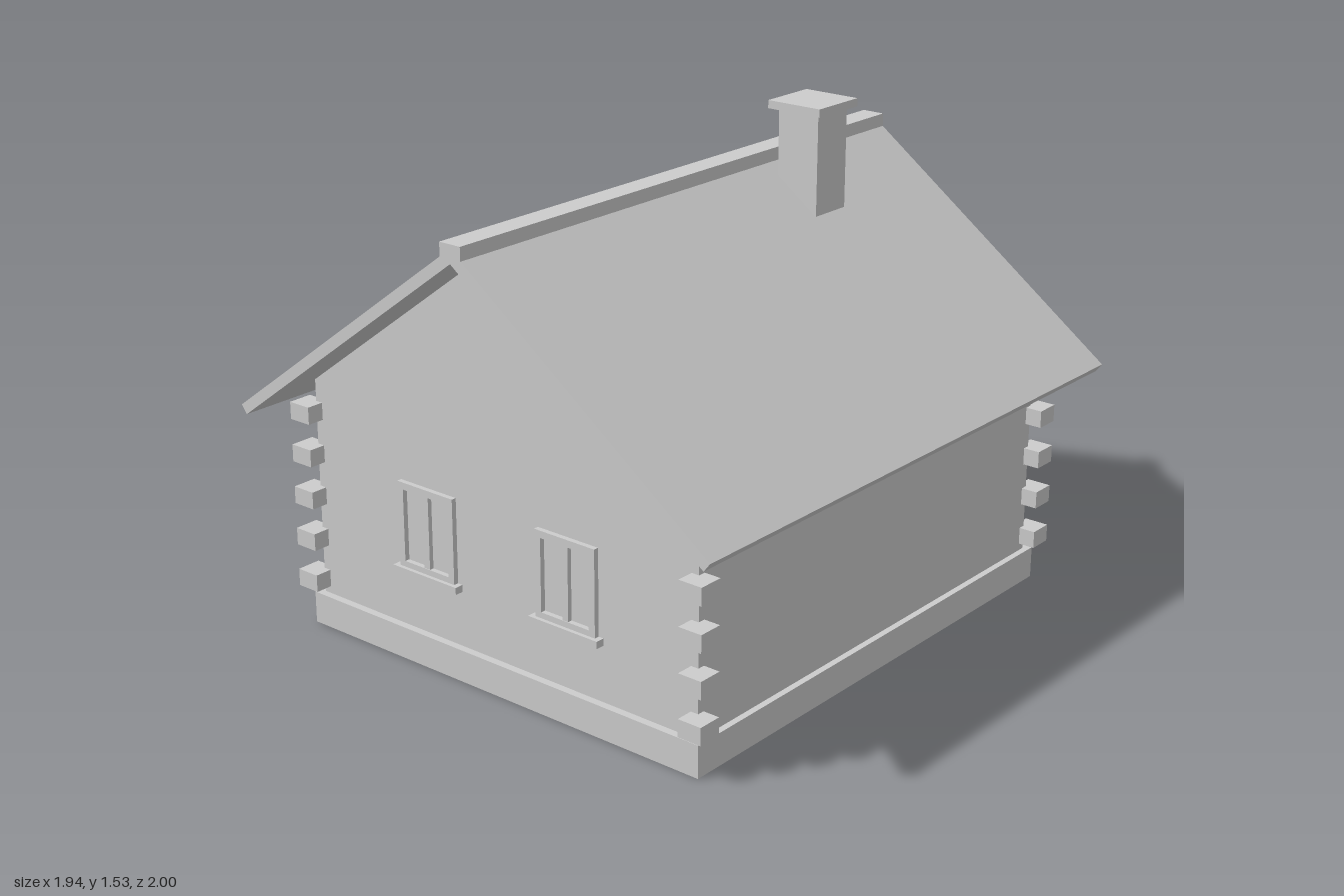
import * as THREE from 'three';

const ZC = 0.117; // centre of the house body along z

export function createModel() {
  const house = new THREE.Group();
  house.name = 'cabin';
  const grey = new THREE.MeshStandardMaterial({ color: 0xcccccc });
  grey.name = 'plain grey';

  const add = (parent, name, geometry) => {
    const mesh = new THREE.Mesh(geometry, grey);
    mesh.name = name;
    parent.add(mesh);
    return mesh;
  };
  // box given by its minimum and maximum on each axis
  const box = (parent, name, x0, x1, y0, y1, z0, z1) =>
    add(parent, name, new THREE.BoxGeometry(x1 - x0, y1 - y0, z1 - z0)
      .translate((x0 + x1) / 2, (y0 + y1) / 2, (z0 + z1) / 2));
  // gable outline (distance from ridge, height) extruded along x
  const prism = (name, points, length) => {
    const shape = new THREE.Shape(points.map(([d, y]) => new THREE.Vector2(d + ZC, y)));
    const geometry = new THREE.ExtrudeGeometry(shape, { depth: length, bevelEnabled: false });
    geometry.translate(0, 0, -length / 2).rotateY(-Math.PI / 2);
    return add(house, name, geometry);
  };

  // Foundation and walls with gables
  box(house, 'foundation', -0.842, 0.842, 0, 0.1, ZC - 0.748, ZC + 0.748);
  prism('walls', [[-0.728, 0.1], [0.728, 0.1], [0.728, 0.785], [0, 1.32], [-0.728, 0.785]], 1.636);

  // Roof slabs and ridge board
  prism('roof', [[0, 1.362], [-0.884, 0.712], [-0.864, 0.686], [0, 1.32], [0.864, 0.686], [0.884, 0.712]], 1.94);
  box(house, 'ridgeBoard', -0.97, 0.97, 1.33, 1.375, ZC - 0.038, ZC + 0.038);

  // Chimney
  box(house, 'chimney', 0.36, 0.505, 1.15, 1.51, 0.195, 0.34);
  box(house, 'chimneyCap', 0.338, 0.53, 1.51, 1.535, 0.17, 0.36);

  // Log ends at the four corners
  for (const sx of [-1, 1]) for (const sz of [-1, 1]) for (let i = 0; i < 5; i++) {
    add(house, 'logEnd', new THREE.BoxGeometry(0.078, 0.054, 0.078))
      .position.set(sx * 0.834, 0.15 + i * 0.135, ZC + sz * 0.742);
  }

  // Window facing +z with its base at the origin: frame, centre bar, sill, optional shutters
  const makeWindow = (w, h, shutters) => {
    const group = new THREE.Group();
    group.name = 'window';
    const rect = (T, x, y0, y1) => new T([[-x, y0], [x, y0], [x, y1], [-x, y1]]
      .map(p => new THREE.Vector2(...p)));
    const frame = rect(THREE.Shape, w / 2, 0, h);
    frame.holes.push(rect(THREE.Path, w / 2 - 0.022, 0.018, h - 0.022));
    add(group, 'windowFrame', new THREE.ExtrudeGeometry(frame, { depth: 0.016, bevelEnabled: false }));
    box(group, 'windowBar', -0.011, 0.011, 0.018, h - 0.022, 0, 0.014);
    box(group, 'windowSill', -w / 2 - 0.017, w / 2 + 0.017, -0.022, 0, 0, 0.028);
    if (shutters) for (const s of [-1, 1]) {
      const c = s * (w / 2 + 0.05);
      box(group, 'shutter', c - 0.027, c + 0.027, -0.015, h, 0, 0.018);
    }
    house.add(group);
    return group;
  };

  // Two windows in each gable wall
  for (const s of [-1, 1]) for (const dz of [-0.268, 0.268]) {
    const win = makeWindow(0.22, 0.265, false);
    win.rotation.y = s * Math.PI / 2;
    win.position.set(s * 0.818, 0.295, ZC + dz);
  }
  // Two shuttered windows in the back wall
  for (const s of [-1, 1]) {
    const win = makeWindow(0.25, 0.265, true);
    win.rotation.y = Math.PI;
    win.position.set(s * 0.445, 0.295, ZC - 0.728);
  }

  // Back door with side posts and lintel
  const zWall = ZC - 0.728;
  box(house, 'door', -0.135, 0.135, 0.12, 0.54, zWall - 0.008, zWall);
  for (const s of [-1, 1]) {
    box(house, 'doorPost', s * 0.147 - 0.013, s * 0.147 + 0.013, 0.12, 0.565, zWall - 0.016, zWall);
  }
  box(house, 'doorLintel', -0.134, 0.134, 0.54, 0.565, zWall - 0.016, zWall);

  // Porch: deck, flat roof and two posts
  box(house, 'porchDeck', -0.315, 0.315, 0.097, 0.123, -1, zWall);
  box(house, 'porchRoof', -0.315, 0.315, 0.6, 0.625, -1, zWall);
  for (const s of [-1, 1]) {
    box(house, 'porchPost', s * 0.294 - 0.021, s * 0.294 + 0.021, 0.123, 0.6, -1, -0.957);
  }
  return house;
}
